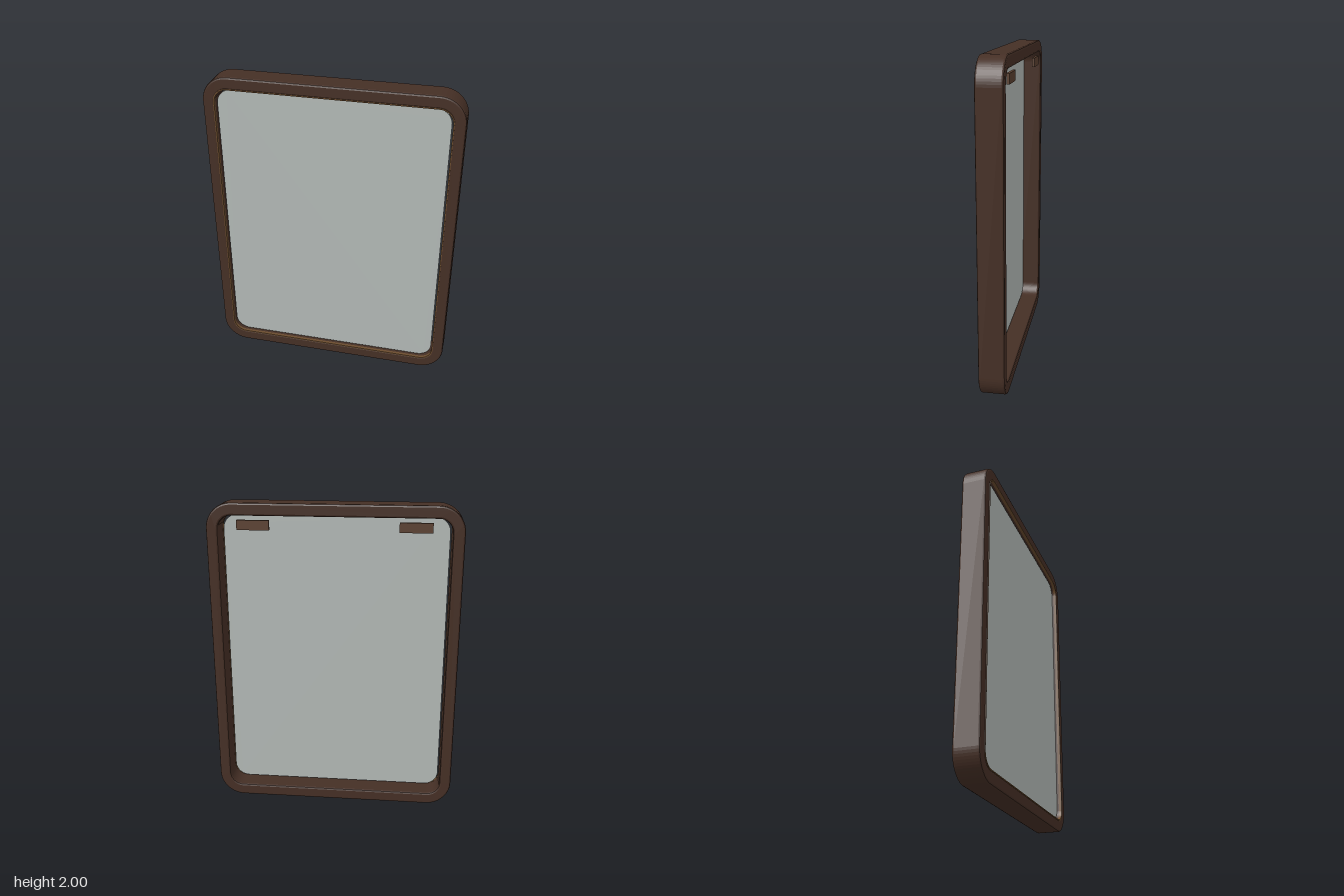
import * as THREE from 'three';

// Rounded rectangle outline centred on the origin
function roundedRect(Type, halfW, halfH, r) {
  const s = new Type();
  s.moveTo(-halfW + r, -halfH);
  s.lineTo(halfW - r, -halfH);
  s.absarc(halfW - r, -halfH + r, r, -Math.PI / 2, 0, false);
  s.lineTo(halfW, halfH - r);
  s.absarc(halfW - r, halfH - r, r, 0, Math.PI / 2, false);
  s.lineTo(-halfW + r, halfH);
  s.absarc(-halfW + r, halfH - r, r, Math.PI / 2, Math.PI, false);
  s.lineTo(-halfW, -halfH + r);
  s.absarc(-halfW + r, -halfH + r, r, Math.PI, Math.PI * 1.5, false);
  return s;
}

// Extruded plate or ring between two z values, with an optional bevel
function plate(outer, inner, z0, z1, bevel = 0) {
  const shape = roundedRect(THREE.Shape, ...outer);
  if (inner) shape.holes.push(roundedRect(THREE.Path, ...inner));
  const geometry = new THREE.ExtrudeGeometry(shape, {
    depth: z1 - z0 - 2 * bevel,
    curveSegments: 8,
    bevelEnabled: bevel > 0,
    bevelThickness: bevel,
    bevelSize: bevel,
    bevelOffset: -bevel,
    bevelSegments: 2,
  });
  return geometry.translate(0, 1, z0 + bevel);
}

export function createModel() {
  const group = new THREE.Group();
  const material = (name, color) => {
    const m = new THREE.MeshStandardMaterial({ color });
    m.name = name;
    return m;
  };
  const darkWood = material('dark wood', 0x452f25);
  const bronze = material('bronze trim', 0x6b4c2e);
  const mirror = material('mirror glass', 0xb2b8b5);
  const bracketWood = material('bracket brown', 0x5a4030);

  const add = (name, geometry, mat) => {
    const mesh = new THREE.Mesh(geometry, mat);
    mesh.name = name;
    group.add(mesh);
    return mesh;
  };

  // Deep frame with softened edges
  add('frame', plate([0.785, 1, 0.16], [0.712, 0.922, 0.085], -0.08, 0.078, 0.012), darkWood);

  // Thin lip around the inner front edge
  add('innerTrim', plate([0.718, 0.928, 0.09], [0.711, 0.921, 0.084], 0.06, 0.08), bronze);

  // Mirror pane, set just behind the front face
  add('mirrorPane', plate([0.702, 0.913, 0.09], null, 0.04, 0.05), mirror);

  // Hanging brackets at the back
  for (const side of [-1, 1]) {
    const bracket = add(side > 0 ? 'leftBracket' : 'rightBracket',
      new THREE.BoxGeometry(0.2, 0.06, 0.018), bracketWood);
    bracket.position.set(side * 0.494, 1.866, -0.07);
  }
  return group;
}
